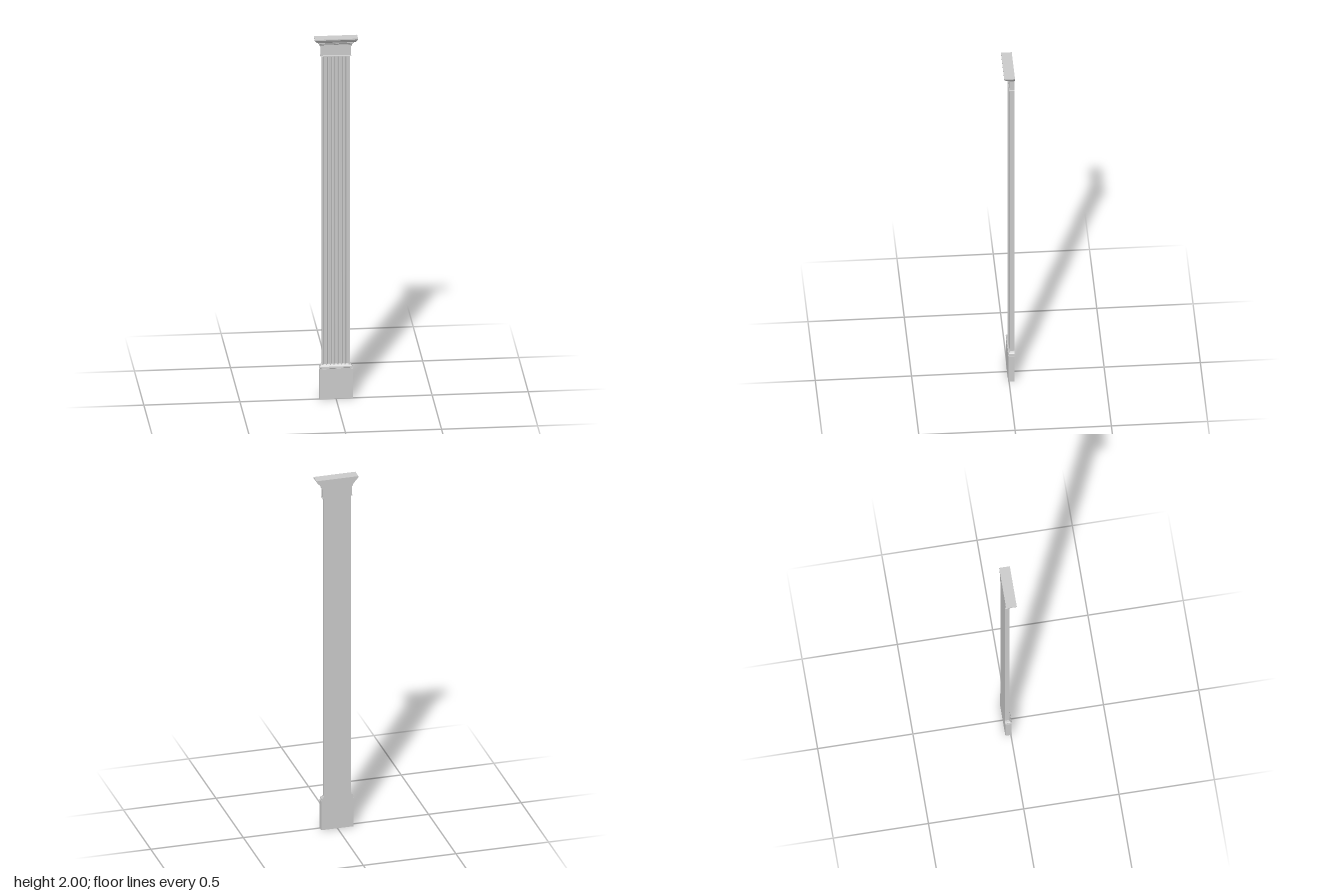
import * as THREE from 'three';
import { toCreasedNormals } from 'three/addons/utils/BufferGeometryUtils.js';

const BACK = -0.029;
const material = new THREE.MeshStandardMaterial({ color: 0xcccccc });

function addMesh(group, name, geometry) {
  const mesh = new THREE.Mesh(geometry, material);
  mesh.name = name;
  group.add(mesh);
}

// Mitred moulding: a [offset, y] profile carried round both sides and the front,
// with a flat back. halfWidth and front are the sizes at offset 0.
function moulding(halfWidth, front, profile) {
  const positions = [];
  const index = [];
  profile.forEach(([o, y]) => {
    const x = halfWidth + o, z = front + o;
    positions.push(-x, y, z, x, y, z, x, y, BACK, -x, y, BACK);
  });
  const last = (profile.length - 1) * 4;
  for (let r = 0; r < last; r += 4) {
    for (let i = 0; i < 4; i++) {
      const a = r + i, b = r + (i + 1) % 4;
      index.push(a, b, b + 4, a, b + 4, a + 4);
    }
  }
  index.push(0, 2, 1, 0, 3, 2);
  index.push(last, last + 1, last + 2, last, last + 2, last + 3);
  const geometry = new THREE.BufferGeometry();
  geometry.setAttribute('position', new THREE.Float32BufferAttribute(positions, 3));
  geometry.setIndex(index);
  return toCreasedNormals(geometry, 0.5);
}

// Shaft section (x, -z), with round flutes cut into the front, extruded upwards
function flutedShaft(halfWidth, front, y0, y1) {
  const flutes = 7, radius = 0.0072, pitch = 0.0193;
  const shape = new THREE.Shape();
  shape.moveTo(-halfWidth, -BACK);
  shape.lineTo(-halfWidth, -front);
  for (let i = 0; i < flutes; i++) {
    const cx = (i - (flutes - 1) / 2) * pitch;
    shape.lineTo(cx - radius, -front);
    shape.absarc(cx, -front, radius, Math.PI, 0, true);
  }
  shape.lineTo(halfWidth, -front);
  shape.lineTo(halfWidth, -BACK);
  shape.closePath();
  const geometry = new THREE.ExtrudeGeometry(shape, {
    depth: y1 - y0, bevelEnabled: false, curveSegments: 8,
  });
  geometry.rotateX(-Math.PI / 2);
  geometry.translate(0, y0, 0);
  return toCreasedNormals(geometry, 0.6);
}

export function createModel() {
  const group = new THREE.Group();
  group.name = 'pilaster';

  addMesh(group, 'plinth', moulding(0.087, 0.004, [[0, 0], [0, 0.165]]));

  // Base moulding: small bead, then a cove up to the shaft
  addMesh(group, 'baseMoulding', moulding(0.075, -0.006, [
    [0.008, 0.165], [0.008, 0.168], [0.010, 0.170], [0.0105, 0.174], [0.009, 0.178],
    [0.005, 0.181], [0.002, 0.185], [0, 0.19],
  ]));

  addMesh(group, 'flutedShaft', flutedShaft(0.072, -0.004, 0.18, 1.9));

  // Neck block with a thin fillet at its lower edge
  addMesh(group, 'neck', moulding(0.078, -0.003, [
    [0.002, 1.893], [0.002, 1.898], [0, 1.9], [0, 1.956],
  ]));

  // Capital: stepped fillets and an ogee flaring out to the flat top
  addMesh(group, 'capital', moulding(0.079, -0.007, [
    [0, 1.948], [0.004, 1.950], [0.004, 1.958], [0.007, 1.960], [0.009, 1.966],
    [0.014, 1.970], [0.014, 1.974], [0.021, 1.977], [0.026, 1.982], [0.029, 1.988],
    [0.032, 1.992], [0.034, 1.994], [0.034, 2],
  ]));
  return group;
}
